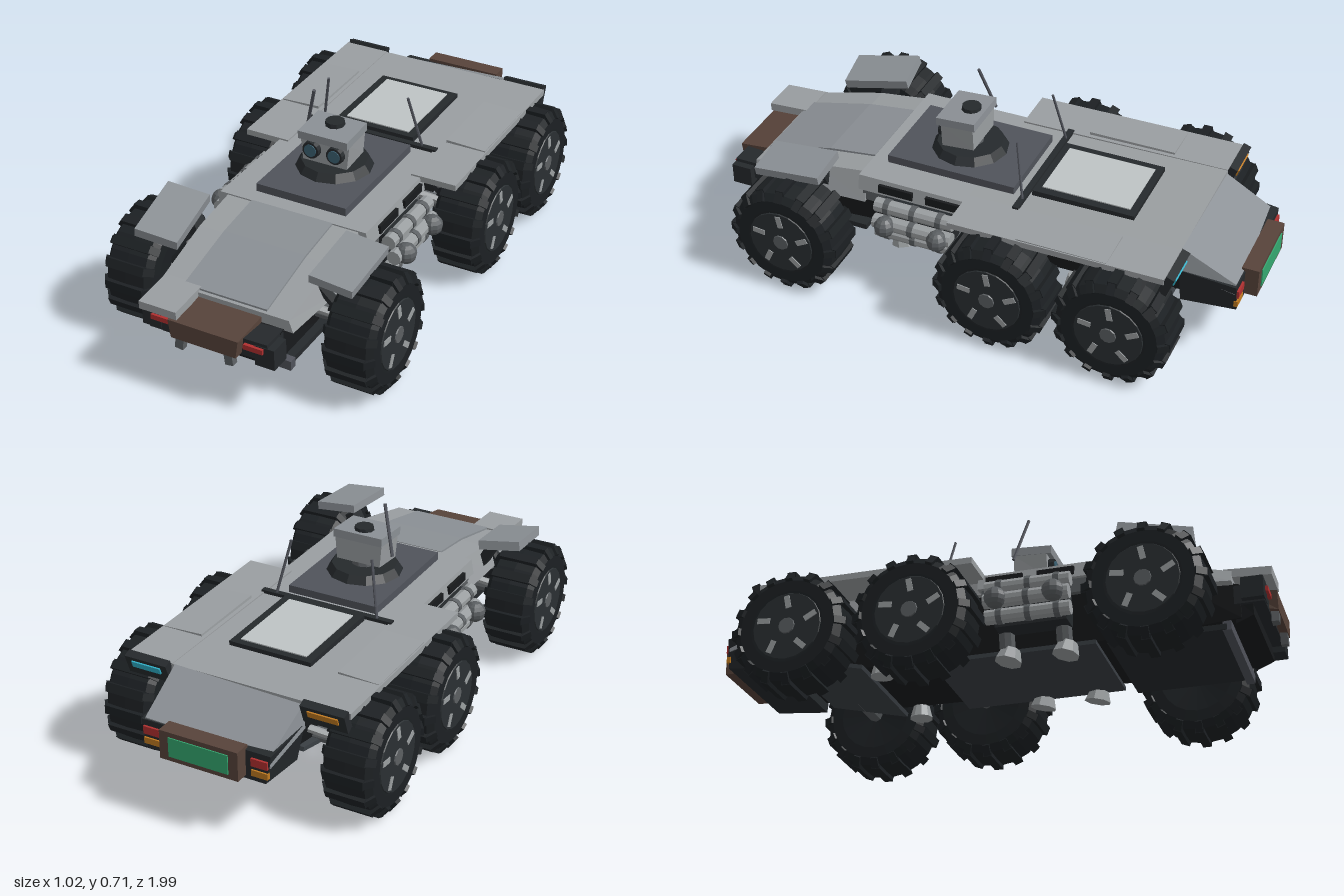
import * as THREE from 'three';

const mat = color => new THREE.MeshStandardMaterial({ color, flatShading: true });
const M = {
  panel: mat(0x9a9ea1), panelDark: mat(0x8b9095), slate: mat(0x50535b), frame: mat(0x25292c), black: mat(0x191b1d), plate: mat(0x3a3f44),
  tyre: mat(0x1c2023), rim: mat(0x2a2f32), metal: mat(0x9a9ea0), steel: mat(0x5b5f62), rust: mat(0x57433a),
  red: mat(0xb03030), orange: mat(0xc07a20), green: mat(0x34a870), cyan: mat(0x2fb0c8), lens: mat(0x3c6274), glass: mat(0xbec3c4),
};

function add(parent, name, geo, m, x = 0, y = 0, z = 0, rx = 0, ry = 0, rz = 0) {
  const mesh = new THREE.Mesh(geo, m);
  mesh.name = name;
  mesh.position.set(x, y, z);
  mesh.rotation.set(rx, ry, rz);
  parent.add(mesh);
}
const box = (w, h, d) => new THREE.BoxGeometry(w, h, d);
const cyl = (rt, rb, h, n = 12) => new THREE.CylinderGeometry(rt, rb, h, n);

// Loft through trapezoid sections [z, yBottom, yTop, halfBottom, halfTop], listed back to front
function loft(sections) {
  const pos = [], idx = [];
  for (const [z, b, t, wb, wt] of sections) pos.push(-wb, b, z, wb, b, z, wt, t, z, -wt, t, z);
  const n = sections.length;
  for (let s = 0; s < n - 1; s++) for (let i = 0; i < 4; i++) {
    const a = s * 4 + i, c = s * 4 + (i + 1) % 4;
    idx.push(a, c, c + 4, a, c + 4, a + 4);
  }
  const e = (n - 1) * 4;
  idx.push(0, 2, 1, 0, 3, 2, e, e + 1, e + 2, e, e + 2, e + 3);
  const g = new THREE.BufferGeometry();
  g.setAttribute('position', new THREE.Float32BufferAttribute(pos, 3));
  g.setIndex(idx);
  const flat = g.toNonIndexed();
  flat.computeVertexNormals();
  return flat;
}

// Straight rod between two points
function rod(parent, name, a, b, r, m, n = 8) {
  const A = new THREE.Vector3(...a), B = new THREE.Vector3(...b), d = B.clone().sub(A);
  const geo = cyl(r, r, d.length(), n);
  geo.applyQuaternion(new THREE.Quaternion().setFromUnitVectors(new THREE.Vector3(0, 1, 0), d.normalize()));
  const mid = A.add(B).multiplyScalar(0.5);
  add(parent, name, geo, m, mid.x, mid.y, mid.z);
}

// Wheel with its outer face towards +x
function wheel() {
  const g = new THREE.Group();
  g.name = 'wheel';
  const profile = [[0, -0.08], [0.13, -0.092], [0.17, -0.09], [0.194, -0.07], [0.197, 0], [0.194, 0.07], [0.17, 0.088], [0.13, 0.088], [0, 0.08]];
  const tyre = new THREE.LatheGeometry(profile.map(p => new THREE.Vector2(...p)), 20).rotateZ(-Math.PI / 2);
  add(g, 'tyre', tyre, M.tyre);
  const N = 16;
  for (let i = 0; i < N; i++) {
    const a = i / N * Math.PI * 2;
    add(g, 'treadLug', box(0.145, 0.03, 0.032).translate(0, 0.193, 0), M.tyre, 0, 0, 0, a);
    // Shoulder of the lug leans in towards the tyre wall
    for (const s of [-1, 1]) {
      add(g, 'sideLug', box(0.012, 0.04, 0.026).rotateZ(s * 0.65).translate(s * 0.08, 0.186, 0), M.tyre, 0, 0, 0, a);
    }
  }
  add(g, 'rim', cyl(0.12, 0.128, 0.012, 20).rotateZ(-Math.PI / 2), M.rim, 0.085);
  add(g, 'hub', cyl(0.028, 0.034, 0.014, 10).rotateZ(-Math.PI / 2), M.steel, 0.088);
  for (let i = 0; i < 5; i++) {
    const spoke = box(0.008, 0.046, 0.02).rotateX(0.2).translate(0, 0.088, 0);
    add(g, 'spoke', spoke, M.metal, 0.09, 0, 0, i / 5 * Math.PI * 2);
  }
  return g;
}

function body(root) {
  const g = new THREE.Group();
  g.name = 'body';
  root.add(g);
  // Dark lower hull with belly plates
  add(g, 'lowerHull', loft([[-0.75, 0.23, 0.36, 0.21, 0.24], [-0.45, 0.165, 0.38, 0.19, 0.25], [0.02, 0.155, 0.4, 0.19, 0.25],
    [0.42, 0.155, 0.38, 0.19, 0.25], [0.62, 0.15, 0.34, 0.2, 0.24], [0.88, 0.165, 0.28, 0.21, 0.22]]), M.black);
  add(g, 'midBellyPlate', box(0.42, 0.015, 0.58), M.plate, 0, 0.145, 0.1);
  add(g, 'rearBellyPlate', box(0.46, 0.015, 0.3), M.plate, 0, 0.187, -0.58, 0.24);
  add(g, 'frontBellyPlate', box(0.44, 0.02, 0.4), M.frame, 0.01, 0.14, 0.63);
  // Upper shells
  add(g, 'midDeck', loft([[0, 0.355, 0.41, 0.29, 0.28], [0.42, 0.355, 0.41, 0.29, 0.28]]), M.panel);
  add(g, 'hood', loft([[0.4, 0.3, 0.408, 0.285, 0.25], [0.6, 0.29, 0.382, 0.28, 0.25], [0.86, 0.28, 0.322, 0.255, 0.24]]), M.panel);
  add(g, 'hoodPanel', loft([[0.42, 0.35, 0.412, 0.155, 0.155], [0.6, 0.35, 0.39, 0.155, 0.155], [0.85, 0.3, 0.331, 0.155, 0.155]]), M.panelDark);
  add(g, 'noseCorner', box(0.14, 0.03, 0.16), M.panel, -0.165, 0.314, 0.912, 0.06);
  add(g, 'rearDeck', loft([[-0.75, 0.35, 0.42, 0.26, 0.25], [0.02, 0.35, 0.41, 0.26, 0.26]]), M.panel);
  add(g, 'tail', loft([[-0.94, 0.28, 0.318, 0.235, 0.23], [-0.75, 0.33, 0.415, 0.25, 0.24]]), M.panelDark, 0.008, 0, 0, 0, 0, 0.03);
  add(g, 'tailLower', loft([[-0.945, 0.215, 0.32, 0.22, 0.24], [-0.75, 0.195, 0.34, 0.22, 0.25]]), M.frame);
  // Wheel covers with rear lamps
  for (const s of [-1, 1]) {
    add(g, 'rearFender', box(0.17, 0.022, 0.77), M.panel, s * 0.33, 0.408, -0.365, 0.008);
    add(g, 'fenderPanel', box(0.15, 0.014, 0.32), M.panel, s * 0.335, 0.418, -0.39, 0, 0, -s * 0.04);
    add(g, 'lampHousing', box(0.16, 0.075, 0.03), M.frame, s * 0.33, 0.393, -0.757, -0.35);
    add(g, 'fenderLamp', box(0.11, 0.025, 0.012), s > 0 ? M.cyan : M.orange, s * 0.33, 0.398, -0.774, -0.35);
    add(g, 'sideSkirt', box(0.02, 0.05, 0.4), M.steel, s * 0.265, 0.33, 0.21);
    add(g, 'frontFender', box(0.155, s > 0 ? 0.03 : 0.034, 0.25), M.panelDark, s * 0.333, s > 0 ? 0.433 : 0.418, 0.635, s > 0 ? 0.1 : 0.18, s > 0 ? 0 : 0.1, s > 0 ? -0.1 : -0.15);
    add(g, 'fenderBracket', box(0.035, 0.1, 0.06), M.frame, s * 0.275, 0.365, 0.58, 0, 0, -s * 0.5);
  }
  // Rear hatch with framed glass
  add(g, 'hatchFrame', box(0.31, 0.026, 0.37), M.frame, -0.003, 0.42, -0.365);
  add(g, 'hatchGlass', box(0.25, 0.012, 0.32), M.glass, -0.003, 0.431, -0.365);
  add(g, 'antennaBar', box(0.51, 0.025, 0.022), M.frame, 0, 0.412, -0.16);
}

function ends(root) {
  const g = new THREE.Group();
  g.name = 'bumpers';
  root.add(g);
  // Front bumper
  add(g, 'bumper', box(0.44, 0.065, 0.1), M.frame, 0, 0.248, 0.91, 0, 0, 0.02);
  add(g, 'bumperCore', loft([[0.86, 0.15, 0.24, 0.2, 0.21], [0.92, 0.175, 0.24, 0.2, 0.21]]), M.black);
  add(g, 'bumperPlate', loft([[0.86, 0.24, 0.305, 0.14, 0.14], [0.99, 0.22, 0.285, 0.12, 0.13]]), M.rust);
  add(g, 'skidLip', box(0.44, 0.035, 0.03), M.slate, 0.015, 0.14, 0.83, 0, 0, -0.03);
  for (const s of [-1, 1]) {
    add(g, 'bumperEnd', box(0.07, 0.075, 0.075), M.frame, s * 0.21, s > 0 ? 0.235 : 0.255, 0.925);
    add(g, 'headlamp', box(0.07, 0.018, 0.016), M.red, s * 0.172, 0.26, 0.964);
    add(g, 'towHook', box(0.03, 0.065, 0.025), M.steel, s * 0.09, 0.215, 0.975, 0, 0, s * 0.12);
    // Rear lamps
    add(g, 'tailLampRed', box(0.06, 0.028, 0.014), M.red, s * 0.2, 0.285, -0.946);
    add(g, 'tailLampOrange', box(0.06, 0.022, 0.014), M.orange, s * 0.2, 0.245, -0.944);
  }
  // Rear plate
  add(g, 'tailPlate', box(0.29, 0.105, 0.06), M.rust, -0.003, 0.28, -0.962);
  add(g, 'tailScreen', box(0.22, 0.07, 0.012), M.green, -0.003, 0.28, -0.99);
}

function turret(root) {
  const g = new THREE.Group();
  g.name = 'sensorHead';
  root.add(g);
  add(g, 'turretBase', box(0.345, 0.035, 0.48), M.slate, 0, 0.422, 0.12);
  add(g, 'turretRing', cyl(0.118, 0.138, 0.03, 12), M.frame, 0, 0.453, 0.12);
  add(g, 'neck', cyl(0.045, 0.05, 0.03, 10), M.steel, 0, 0.475, 0.12);
  add(g, 'head', loft([[0.07, 0.485, 0.57, 0.085, 0.092], [0.19, 0.475, 0.57, 0.085, 0.095]]), M.panel);
  add(g, 'brow', box(0.19, 0.03, 0.145), M.panelDark, 0, 0.58, 0.135, 0.06);
  add(g, 'headCap', cyl(0.034, 0.036, 0.016, 10), M.frame, 0, 0.602, 0.115);
  for (const s of [-1, 1]) {
    add(g, 'eyeRing', cyl(0.031, 0.033, 0.026, 14).rotateX(Math.PI / 2), M.frame, s * 0.046, 0.526, 0.197);
    add(g, 'eyeLens', cyl(0.023, 0.023, 0.01, 14).rotateX(Math.PI / 2), M.lens, s * 0.046, 0.526, 0.208);
    rod(g, 'antenna', [s * 0.2, 0.41, -0.165], [s * 0.157, 0.62, -0.125], 0.005, M.slate, 6);
  }
  rod(g, 'headAntenna', [-0.13, 0.535, 0.08], [-0.077, 0.71, 0.122], 0.006, M.slate, 6);
}

function runningGear(root) {
  for (const s of [-1, 1]) {
    const g = new THREE.Group();
    g.name = s > 0 ? 'leftRunningGear' : 'rightRunningGear';
    root.add(g);
    // Wheels, axles, arms and shocks
    for (const z of [0.62, -0.165, -0.6]) {
      const w = wheel();
      w.position.set(s * 0.415, 0.208, z);
      if (s < 0) w.rotation.y = Math.PI;
      g.add(w);
      rod(g, 'axle', [s * 0.15, 0.21, z], [s * 0.36, 0.21, z], 0.026, M.steel, 8);
      for (const d of [-0.07, 0.07]) {
        rod(g, 'suspensionArm', [s * 0.2, 0.27, z + d], [s * 0.35, 0.23, z + d * 0.4], 0.014, M.metal, 6);
      }
      rod(g, 'shock', [s * 0.24, 0.35, z + 0.05], [s * 0.32, 0.25, z + 0.03], 0.02, M.frame, 8);
    }
    // Side canisters with straps
    for (const [y, x] of [[0.335, 0.32], [0.28, 0.34], [0.23, 0.32]]) {
      rod(g, 'canister', [s * x, y, 0.04], [s * x, y, 0.335], 0.026, M.metal, 10);
      for (const z of [0.09, 0.19, 0.29]) rod(g, 'strap', [s * x, y, z - 0.01], [s * x, y, z + 0.01], 0.029, M.steel, 10);
    }
    for (const z of [0.085, 0.285]) {
      add(g, 'clampKnob', new THREE.SphereGeometry(0.038, 10, 8), M.steel, s * 0.362, 0.28, z);
      add(g, 'sideWindow', box(0.012, 0.03, 0.13), M.black, s * 0.288, 0.38, z + (z > 0.2 ? -0.01 : 0.01));
      // Support feet
      rod(g, 'footLeg', [s * 0.21, 0.13, z], [s * 0.23, 0.22, z], 0.028, M.steel, 8);
      add(g, 'foot', cyl(0.034, 0.048, 0.045, 8), M.metal, s * 0.21, 0.13, z + 0.005, 0.2, 0, s * 0.1);
    }
    add(g, 'canisterRack', box(0.08, 0.15, 0.25), M.frame, s * 0.26, 0.275, 0.19);
    // Round fitting between the rear wheels
    add(g, 'bellyFitting', cyl(0.03, 0.042, 0.045, 10), M.metal, s * 0.2, 0.14, -0.37);
  }
}

export function createModel() {
  const root = new THREE.Group();
  root.name = 'sixWheelRover';
  body(root);
  ends(root);
  turret(root);
  runningGear(root);
  return root;
}
